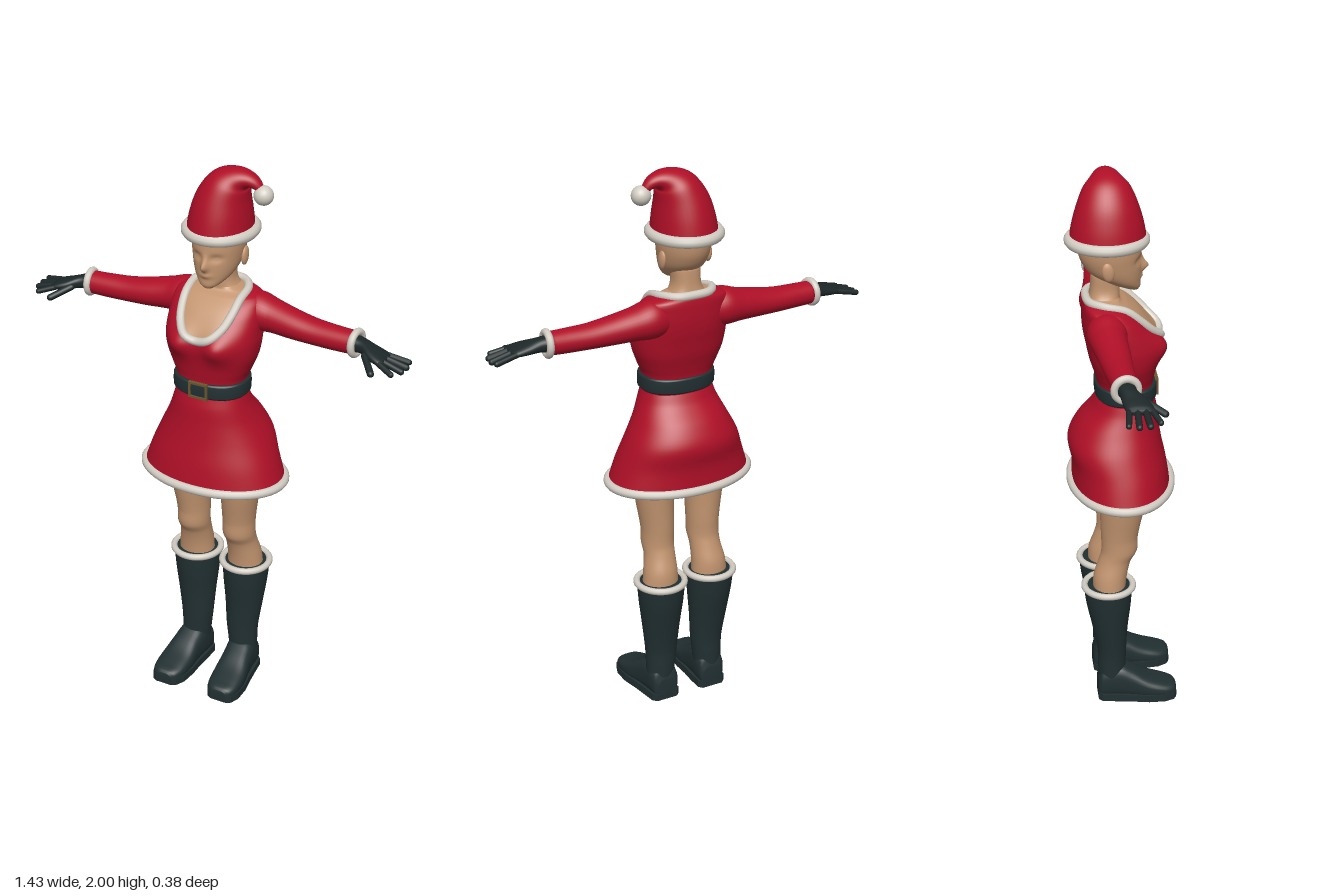
import * as THREE from 'three';

const mat = (name, color, side = THREE.FrontSide) => {
  const m = new THREE.MeshStandardMaterial({ color, side });
  m.name = name;
  return m;
};

// Smooth lookup in a table whose first column is the key
function at(rows, k) {
  let i = 0;
  while (i < rows.length - 2 && k > rows[i + 1][0]) i++;
  const a = rows[i], b = rows[i + 1], p = rows[i - 1] || a, q = rows[i + 2] || b;
  const h = b[0] - a[0], t = (k - a[0]) / h;
  return a.map((v, c) => {
    if (c === 0) return k;
    const m0 = (b[c] - p[c]) / (b[0] - p[0]) * h, m1 = (q[c] - v) / (q[0] - a[0]) * h;
    return v * (2 * t ** 3 - 3 * t * t + 1) + m0 * (t ** 3 - 2 * t * t + t)
      + b[c] * (3 * t * t - 2 * t ** 3) + m1 * (t ** 3 - t * t);
  });
}

// Skin over rings; ring(row, c, s) gives a point, c and s running round a superellipse
function loft(rows, ring, { seg = 32, steps = 5, n = 2, caps = true, pick = null } = {}) {
  const pos = [], sets = [[], []], keys = [];
  for (let i = 0; i < rows.length - 1; i++)
    for (let j = 0; j < steps; j++) keys.push(rows[i][0] + (rows[i + 1][0] - rows[i][0]) * j / steps);
  keys.push(rows[rows.length - 1][0]);
  const pw = v => Math.sign(v) * Math.abs(v) ** (2 / n);
  for (const k of keys) {
    const row = at(rows, k);
    for (let j = 0; j < seg; j++) {
      const u = j / seg * Math.PI * 2;
      pos.push(...ring(row, pw(Math.cos(u)), pw(Math.sin(u))));
    }
  }
  const tri = (...t) => {
    const mid = [0, 1, 2].map(c => (pos[t[0] * 3 + c] + pos[t[1] * 3 + c] + pos[t[2] * 3 + c]) / 3);
    sets[pick && pick(...mid) ? 1 : 0].push(...t);
  };
  for (let i = 0; i < keys.length - 1; i++)
    for (let j = 0; j < seg; j++) {
      const a = i * seg + j, b = i * seg + (j + 1) % seg;
      tri(a, a + seg, b);
      tri(b, a + seg, b + seg);
    }
  if (caps) for (const base of [0, (keys.length - 1) * seg]) {
    const mid = [0, 0, 0], id = pos.length / 3;
    for (let j = 0; j < seg * 3; j++) mid[j % 3] += pos[base * 3 + j] / seg;
    pos.push(...mid);
    for (let j = 0; j < seg; j++) {
      const a = base + j, b = base + (j + 1) % seg;
      base ? tri(a, id, b) : tri(b, id, a);
    }
  }
  const g = new THREE.BufferGeometry();
  g.setAttribute('position', new THREE.Float32BufferAttribute(pos, 3));
  g.setIndex([...sets[0], ...sets[1]]);
  if (pick) {
    g.addGroup(0, sets[0].length, 0);
    g.addGroup(sets[0].length, sets[1].length, 1);
  }
  g.computeVertexNormals();
  return g;
}

// Ring layouts: upright by front/back depth, upright by centre, along x
const body = ([y, rx, f, b], c, s) => [rx * c, y, (f + b) / 2 + (f - b) / 2 * s];
const column = ([y, cx, cz, rx, rz], c, s) => [cx + rx * c, y, cz + rz * s];
const arm = ([x, cy, cz, ry, rz], c, s) => [x, cy + ry * s, cz + rz * c];
const bump = (x, y, cx, cy, sx, sy) => Math.exp(-(((x - cx) / sx) ** 2) - ((y - cy) / sy) ** 2);

function furLoop(points, r) {
  const curve = new THREE.CatmullRomCurve3(points.map(p => new THREE.Vector3(...p)), true);
  return new THREE.TubeGeometry(curve, 72, r, 10, true);
}
const oval = (cx, y, cz, rx, rz) => Array.from({ length: 20 }, (_, i) => {
  const u = i / 20 * Math.PI * 2;
  return [cx + rx * Math.cos(u), y, cz + rz * Math.sin(u)];
});

function capsule(a, b, r) {
  const p = new THREE.Vector3(...a), q = new THREE.Vector3(...b), d = q.clone().sub(p);
  const turn = new THREE.Quaternion().setFromUnitVectors(new THREE.Vector3(0, 1, 0), d.clone().normalize());
  return new THREE.CapsuleGeometry(r, d.length(), 5, 10).applyQuaternion(turn)
    .translate(...p.add(q).multiplyScalar(0.5).toArray());
}

function mirrored(g) {
  const m = g.clone().scale(-1, 1, 1), ix = m.index;
  for (let i = 0; i < ix.count; i += 3) {
    const t = ix.getX(i);
    ix.setX(i, ix.getX(i + 1));
    ix.setX(i + 1, t);
  }
  return m;
}

export function createModel() {
  const red = mat('red cloth', 0xb00f27, THREE.DoubleSide), fur = mat('pale fur', 0xd2cdc3);
  const skin = mat('skin', 0xc2946f), leather = mat('dark leather', 0x223032);
  const glove = mat('glove black', 0x1d2728), brass = mat('dull brass', 0x6b5630);
  const model = new THREE.Group();
  const add = (name, g, m) => {
    const mesh = new THREE.Mesh(g, m);
    mesh.name = name;
    model.add(mesh);
  };
  const pair = (name, g, m) => {
    add(name + 'Left', g, m);
    add(name + 'Right', mirrored(g), m);
  };

  // Torso, with bare neck and chest inside the collar line
  const torso = [[1.19, .126, .112, -.08], [1.26, .127, .112, -.085], [1.3, .142, .118, -.095],
    [1.35, .16, .125, -.11], [1.4, .168, .126, -.12], [1.44, .168, .118, -.128], [1.48, .167, .095, -.132],
    [1.52, .163, .062, -.132], [1.55, .15, .025, -.13], [1.565, .11, 0, -.125], [1.577, .06, -.003, -.108],
    [1.66, .048, 0, -.1]];
  const bust = (x, y) => .034 * (bump(x, y, .075, 1.405, .055, .05) + bump(x, y, -.075, 1.405, .055, .05));
  const torsoRing = (r, c, s) => {
    const p = body(r, c, s);
    if (s > 0) p[2] += bust(p[0], p[1]) * Math.min(1, s * 2);
    return p;
  };
  const collar = [[1.425, 0], [1.438, .045], [1.47, .078], [1.51, .094], [1.55, .1], [1.6, .1]];
  const half = y => {
    const i = collar.findIndex(c => c[0] > y);
    if (i < 1) return i ? 1 : 0;
    const [a, b] = [collar[i - 1], collar[i]];
    return a[1] + (b[1] - a[1]) * (y - a[0]) / (b[0] - a[0]);
  };
  add('torso', loft(torso, torsoRing, { seg: 96, steps: 8, n: 2.4,
    pick: (x, y, z) => y > 1.568 || (z > -.04 && y > 1.425 && Math.abs(x) < half(y)) }), [red, skin]);

  // Fur collar lying on the torso
  const frontZ = (x, y) => {
    const [, rx, f, b] = at(torso, y);
    return (f + b) / 2 + (f - b) / 2 * (1 - Math.min(1, Math.abs(x) / rx) ** 2.4) ** (1 / 2.4) + bust(x, y);
  };
  const side = collar.slice(1, 5).map(([y, x]) => [x, y, frontZ(x, y)]);
  side.push([.097, 1.568, -.06], [.06, 1.571, -.108]);
  add('collarFur', furLoop([[0, 1.425, frontZ(0, 1.425)], ...side, [0, 1.572, -.118],
    ...side.slice().reverse().map(([x, y, z]) => [-x, y, z])], .015), fur);

  // Head with sculpted nose, lips, chin and eye sockets
  const head = [[1.594, .018, .062, .03], [1.606, .036, .068, 0], [1.63, .06, .068, -.055],
    [1.66, .076, .07, -.105], [1.7, .086, .07, -.133], [1.74, .091, .07, -.144],
    [1.79, .09, .063, -.143], [1.84, .065, .03, -.11]];
  add('head', loft(head, (r, c, s) => {
    const p = body(r, c, s), [x, y] = p;
    if (s > 0) p[2] += .022 * bump(x, y, 0, 1.674, .012, .016) + .01 * bump(x, y, 0, 1.695, .01, .02)
      + .007 * bump(x, y, 0, 1.642, .02, .009) - .01 * bump(Math.abs(x), y, .036, 1.706, .018, .012)
      + .004 * bump(Math.abs(x), y, .036, 1.704, .01, .006);
    return p;
  }, { seg: 112, steps: 7 }), skin);
  pair('ear', new THREE.SphereGeometry(1, 14, 10).scale(.011, .034, .021).rotateX(-.15)
    .translate(.088, 1.69, -.05), skin);

  // Hat folding over to its left, with band and pompom: key, x, y, tilt, rx, rz
  const hat = [[0, 0, 1.775, 0, .113, .132], [1, .003, 1.84, 0, .104, .12], [2, .012, 1.9, .1, .09, .102],
    [3, .035, 1.948, .35, .07, .08], [4, .066, 1.966, .8, .046, .056], [5, .1, 1.97, 1.3, .029, .038],
    [6, .132, 1.957, 2, .019, .024], [7, .155, 1.93, 2.3, .012, .012]];
  add('hat', loft(hat, ([, x, y, a, rx, rz], c, s) =>
    [x + rx * c * Math.cos(a), y - rx * c * Math.sin(a), -.042 + rz * s], { seg: 40 }), red);
  add('hatBand', furLoop(oval(0, 1.776, -.045, .113, .125), .02), fur);
  add('pompom', new THREE.IcosahedronGeometry(.034, 3).translate(.16, 1.922, -.04), fur);

  // Sleeves and cuffs
  pair('sleeve', loft([[.08, 1.49, -.06, .058, .055], [.14, 1.492, -.06, .068, .068],
    [.2, 1.485, -.058, .058, .062], [.28, 1.475, -.05, .05, .056], [.36, 1.468, -.045, .044, .05],
    [.44, 1.466, -.04, .042, .045], [.51, 1.466, -.037, .04, .042]], arm), red);
  pair('cuff', new THREE.TorusGeometry(.039, .013, 10, 32).rotateY(Math.PI / 2 - .1)
    .translate(.512, 1.467, -.036), fur);

  // Gloved hands
  pair('hand', loft([[.5, 1.466, -.037, .03, .034], [.54, 1.465, -.03, .024, .03], [.58, 1.457, -.014, .02, .042],
    [.62, 1.45, -.004, .015, .046], [.637, 1.447, -.003, .009, .04]], arm, { n: 2.3 }), glove);
  const digits = [[[.615, 1.45, -.038], [.698, 1.434, -.048], .01], [[.62, 1.45, -.013], [.702, 1.43, -.015], .011],
    [[.62, 1.45, .012], [.698, 1.43, .02], .011], [[.615, 1.45, .03], [.677, 1.43, .055], .01],
    [[.565, 1.454, .015], [.615, 1.428, .077], .012]];
  for (const d of digits) pair('finger', capsule(...d), glove);

  // Skirt, hem, belt and buckle
  add('skirt', loft([[.87, .262, .172, -.172], [.95, .235, .16, -.172], [1.03, .203, .143, -.185],
    [1.1, .168, .132, -.155], [1.16, .142, .125, -.105], [1.2, .13, .115, -.083]], body,
  { seg: 64, n: 2.15, caps: false }), red);
  add('hemFur', furLoop(oval(0, .868, 0, .264, .176), .016), fur);
  add('belt', loft([[1.204, .131, .119, -.086], [1.21, .136, .124, -.09], [1.254, .136, .124, -.092],
    [1.26, .131, .119, -.088]], body, { seg: 64, n: 2.3 }), leather);
  const frame = new THREE.Shape([[-.036, -.03], [.036, -.03], [.036, .03], [-.036, .03]].map(p => new THREE.Vector2(...p)));
  frame.holes.push(new THREE.Path([[-.028, -.022], [-.028, .022], [.028, .022], [.028, -.022]].map(p => new THREE.Vector2(...p))));
  add('buckle', new THREE.ExtrudeGeometry(frame, { depth: .012, bevelEnabled: false }).translate(0, 1.233, .117), brass);

  // Legs
  pair('leg', loft([[.45, .1, -.052, .068, .058], [.52, .098, -.047, .062, .06], [.58, .093, -.03, .056, .058],
    [.62, .092, -.014, .058, .064], [.68, .092, -.013, .059, .066], [.8, .099, -.005, .068, .08],
    [.9, .1, -.005, .074, .09], [1.02, .088, -.02, .086, .1]], column), skin);

  // Boots: shaft, foot, sole and fur top
  pair('bootShaft', loft([[.05, .1, -.042, .05, .048], [.14, .096, -.042, .055, .051], [.2, .094, -.042, .06, .053],
    [.3, .097, -.048, .07, .064], [.4, .099, -.053, .081, .08], [.48, .1, -.056, .087, .088]], column), leather);
  const foot = [[-.094, .095, .036, .08], [-.08, .096, .05, .12], [-.02, .1, .054, .142], [.03, .105, .056, .12],
    [.09, .11, .062, .085], [.15, .113, .059, .064], [.182, .115, .045, .054], [.193, .115, .028, .044]];
  pair('foot', loft(foot, ([z, cx, w, h], c, s) => [cx + w * s, .005 + (h - .005) * (c + 1) / 2, z], { n: 2.8 }), leather);
  const edge = d => foot.map(([z, cx, w]) => new THREE.Vector2(cx + d * (w + .004), -z));
  const sole = new THREE.ExtrudeGeometry(new THREE.Shape([...edge(1), ...edge(-1).reverse()]),
    { depth: .028, bevelEnabled: false }).rotateX(-Math.PI / 2);
  sole.setIndex([...Array(sole.attributes.position.count).keys()]);
  pair('sole', sole, leather);
  pair('bootFur', furLoop(oval(.1, .477, -.053, .086, .087), .012), fur);
  return model;
}
